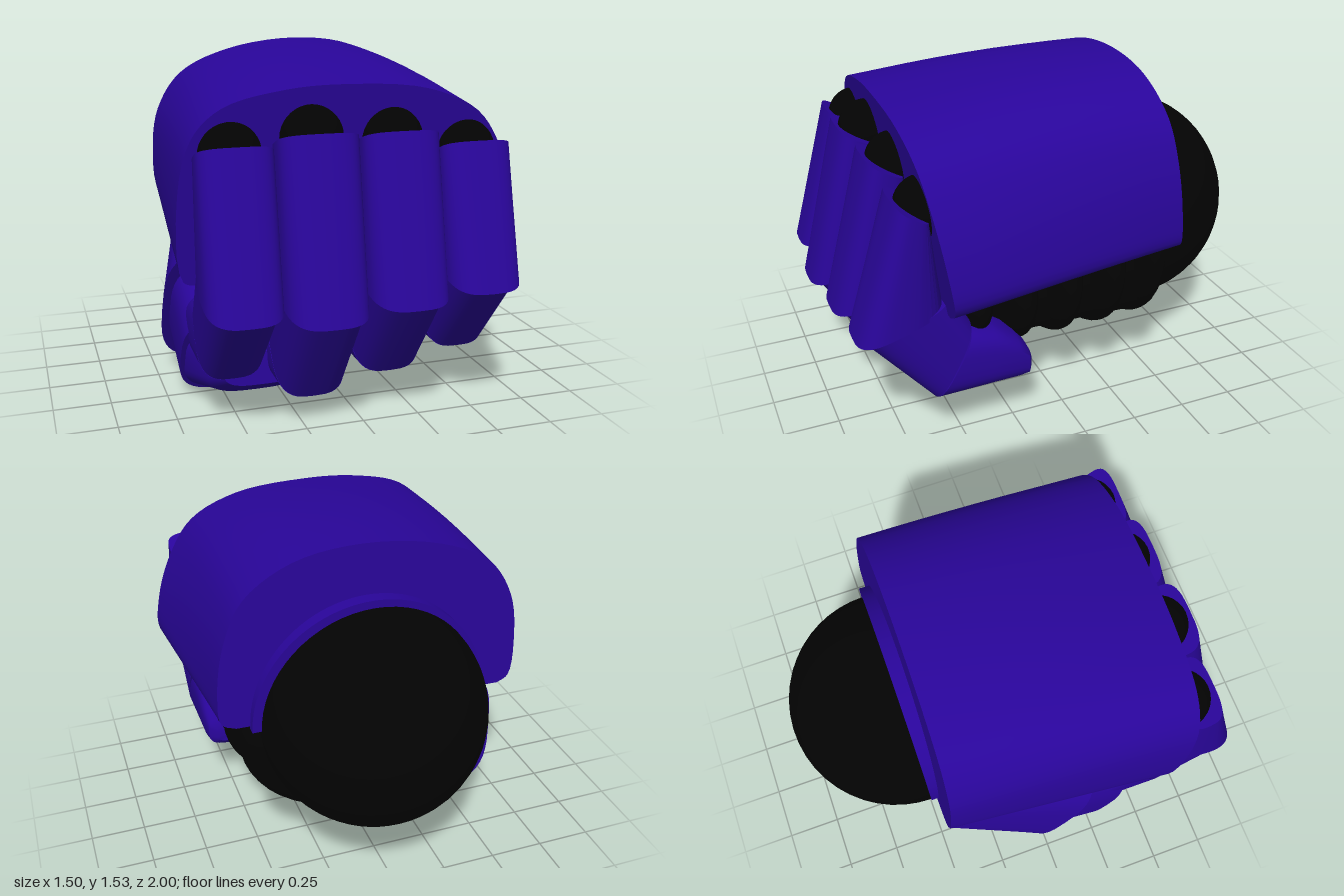
import * as THREE from 'three';
import { toCreasedNormals } from 'three/addons/utils/BufferGeometryUtils.js';

const armour = new THREE.MeshStandardMaterial({ color: 0x29059a });
armour.name = 'violet armour';
const rubber = new THREE.MeshStandardMaterial({ color: 0x030303 });
rubber.name = 'black rubber';

// Closed skin through rings of equal point count, with fan caps at both ends
function loft(rings) {
  const n = rings[0].length, pos = [], idx = [];
  rings.forEach(r => r.forEach(p => pos.push(p.x, p.y, p.z)));
  for (let r = 0; r < rings.length - 1; r++) {
    for (let i = 0; i < n; i++) {
      const a = r * n + i, b = r * n + (i + 1) % n;
      idx.push(a, b, b + n, a, b + n, a + n);
    }
  }
  [0, rings.length - 1].forEach(r => {
    const c = new THREE.Vector3();
    rings[r].forEach(p => c.addScaledVector(p, 1 / n));
    const k = pos.length / 3;
    pos.push(c.x, c.y, c.z);
    for (let i = 0; i < n; i++) {
      const a = r * n + i, b = r * n + (i + 1) % n;
      if (r === 0) idx.push(k, b, a); else idx.push(k, a, b);
    }
  });
  // Turn the skin outward if its enclosed volume comes out negative
  const at = i => new THREE.Vector3().fromArray(pos, i * 3);
  let volume = 0;
  for (let i = 0; i < idx.length; i += 3) {
    volume += at(idx[i]).dot(at(idx[i + 1]).cross(at(idx[i + 2])));
  }
  if (volume < 0) idx.reverse();
  const g = new THREE.BufferGeometry();
  g.setAttribute('position', new THREE.Float32BufferAttribute(pos, 3));
  g.setIndex(idx);
  return toCreasedNormals(g, 0.6);
}

// Rounded-rectangle ring between an outer and an inner (z, y) point
function ring([oz, oy, iz, iy, x, half], n = 40) {
  const pts = [];
  const soft = v => Math.sign(v) * Math.pow(Math.abs(v), 0.62);
  for (let i = 0; i < n; i++) {
    const t = (i / n) * Math.PI * 2;
    const u = soft(Math.cos(t)), v = soft(Math.sin(t));
    pts.push(new THREE.Vector3(x + half * u,
      (oy + iy) / 2 + v * (oy - iy) / 2,
      (oz + iz) / 2 + v * (oz - iz) / 2));
  }
  return pts;
}

const segment = rows => loft(rows.map(r => ring(r)));

function add(parent, name, geometry, material) {
  const mesh = new THREE.Mesh(geometry, material);
  mesh.name = name;
  parent.add(mesh);
  return mesh;
}

// Arched plate over the back of the hand, lower on the thumb side
function handCover() {
  const front = [[-0.66, 0.61], [-0.72, 0.63], [-0.745, 0.96], [-0.69, 1.22], [-0.57, 1.34],
    [-0.32, 1.405], [-0.05, 1.42], [0.3, 1.39], [0.53, 1.29], [0.65, 1.13], [0.73, 0.92],
    [0.742, 0.75], [0.65, 0.68]];
  const back = [[-0.6, 0.77], [-0.65, 0.8], [-0.67, 1.0], [-0.64, 1.2], [-0.53, 1.37],
    [-0.3, 1.48], [0.05, 1.53], [0.35, 1.49], [0.56, 1.36], [0.65, 1.18], [0.69, 0.95],
    [0.68, 0.82], [0.62, 0.79]];
  const arch = (pts, z, lean, top) => new THREE.CatmullRomCurve3(
    pts.map(([x, y]) => new THREE.Vector3(x, y, z - lean * (top - y)))).getPoints(60);
  const a = arch(front, 0.67, 0.12, 1.42), b = arch(back, -0.43, 0.055, 1.53);
  const rings = [];
  for (let s = 0; s <= 8; s++) {
    const t = s / 8;
    rings.push(a.map((p, i) => {
      const q = p.clone().lerp(b[i], t);
      q.y += 0.025 * Math.sin(Math.PI * t) * Math.max(0, (q.y - 0.7) / 0.8);
      return q;
    }));
  }
  return loft(rings);
}

// One curled finger: three armour segments and a ball knuckle
function finger(name, { x, half, top, joint, low, z, knuckle }) {
  const g = new THREE.Group();
  g.name = name;
  const bend = 0.71 - (low - 0.125) * 0.65;
  add(g, 'upperSegment', segment([
    [z - 0.19, top, 0.63, top - 0.08, x, half],
    [z, joint, 0.58, joint + 0.12, x, half]]), armour);
  add(g, 'middleSegment', segment([
    [z - 0.02, joint + 0.02, 0.55, joint + 0.15, x, half - 0.005],
    [bend, low, 0.46, low + 0.34, x, half - 0.015]]), armour);
  add(g, 'tipSegment', segment([
    [bend, low, 0.46, low + 0.31, x, half - 0.016],
    [0.4, low + 0.005, 0.36, low + 0.29, x, half - 0.018],
    [0.25, low + 0.01, 0.26, low + 0.235, x, half - 0.022],
    [0.205, low + 0.015, 0.21, low + 0.17, x, half - 0.035],
    [0.185, low + 0.04, 0.19, low + 0.13, x, half - 0.07]]), armour);
  const ball = new THREE.SphereGeometry(0.13, 28, 18);
  add(g, 'knuckle', ball, rubber).position.set(x, knuckle - 0.13, z - 0.335);
  return g;
}

function thumb() {
  const g = new THREE.Group();
  g.name = 'thumb';
  add(g, 'thumbBase', segment([
    [-0.47, 0.25, -0.45, 0.84, -0.34, 0.24],
    [-0.08, 0.05, 0.25, 0.66, -0.5, 0.235]]), armour);
  add(g, 'thumbMiddle', segment([
    [-0.1, 0.14, 0.16, 0.62, -0.5, 0.2],
    [0.22, 0.0, 0.45, 0.42, -0.46, 0.24]]), armour);
  add(g, 'thumbTip', segment([
    [0.21, 0.01, 0.42, 0.37, -0.45, 0.235],
    [0.45, 0.07, 0.47, 0.32, -0.39, 0.22],
    [0.53, 0.125, 0.52, 0.27, -0.38, 0.17]]), armour);
  return g;
}

export function createModel() {
  const model = new THREE.Group();
  model.name = 'armouredFist';

  add(model, 'handCover', handCover(), armour);

  // Wrist ball and the half collar above it
  add(model, 'wristBall', new THREE.SphereGeometry(0.5, 48, 32), rubber).position.set(0.02, 0.77, -0.5);
  const collar = new THREE.CylinderGeometry(0.53, 0.53, 0.12, 48, 1, false, Math.PI / 2, Math.PI);
  collar.rotateX(Math.PI / 2);
  add(model, 'wristCollar', collar, armour).position.set(0.03, 0.775, -0.445);

  // Plate behind the finger roots
  add(model, 'fingerRootPlate', segment([
    [0.6, 0.72, 0.54, 0.72, -0.03, 0.58],
    [0.55, 0.42, 0.5, 0.44, -0.03, 0.56]]), armour);

  // Palm core wrapped in ribs: z, bottom, top, half width
  add(model, 'palmCore', segment([
    [0.45, 0.42, 0.45, 0.72, 0, 0.4],
    [0.2, 0.34, 0.2, 0.78, 0.04, 0.46],
    [-0.45, 0.31, -0.45, 0.9, 0.04, 0.47]]), rubber);
  [[0.41, 0.35, 0.86, 0.53], [0.21, 0.27, 0.94, 0.56], [0.0, 0.25, 1.02, 0.57],
    [-0.21, 0.24, 1.08, 0.57], [-0.42, 0.235, 1.14, 0.55]].forEach(([z, low, high, half], i) => {
    const rib = add(model, 'palmRib' + (i + 1), new THREE.SphereGeometry(1, 40, 24), rubber);
    rib.scale.set(half, (high - low) / 2, 0.14);
    rib.position.set(0.05, (low + high) / 2, z);
  });

  const fingers = {
    indexFinger: { x: -0.535, half: 0.158, top: 1.21, joint: 0.55, low: 0.22, z: 0.97, knuckle: 1.29 },
    middleFinger: { x: -0.205, half: 0.17, top: 1.25, joint: 0.52, low: 0.125, z: 1.0, knuckle: 1.345 },
    ringFinger: { x: 0.148, half: 0.168, top: 1.24, joint: 0.55, low: 0.18, z: 0.975, knuckle: 1.32 },
    littleFinger: { x: 0.485, half: 0.158, top: 1.18, joint: 0.58, low: 0.24, z: 0.955, knuckle: 1.255 },
  };
  Object.entries(fingers).forEach(([name, f]) => model.add(finger(name, f)));
  model.add(thumb());
  return model;
}
